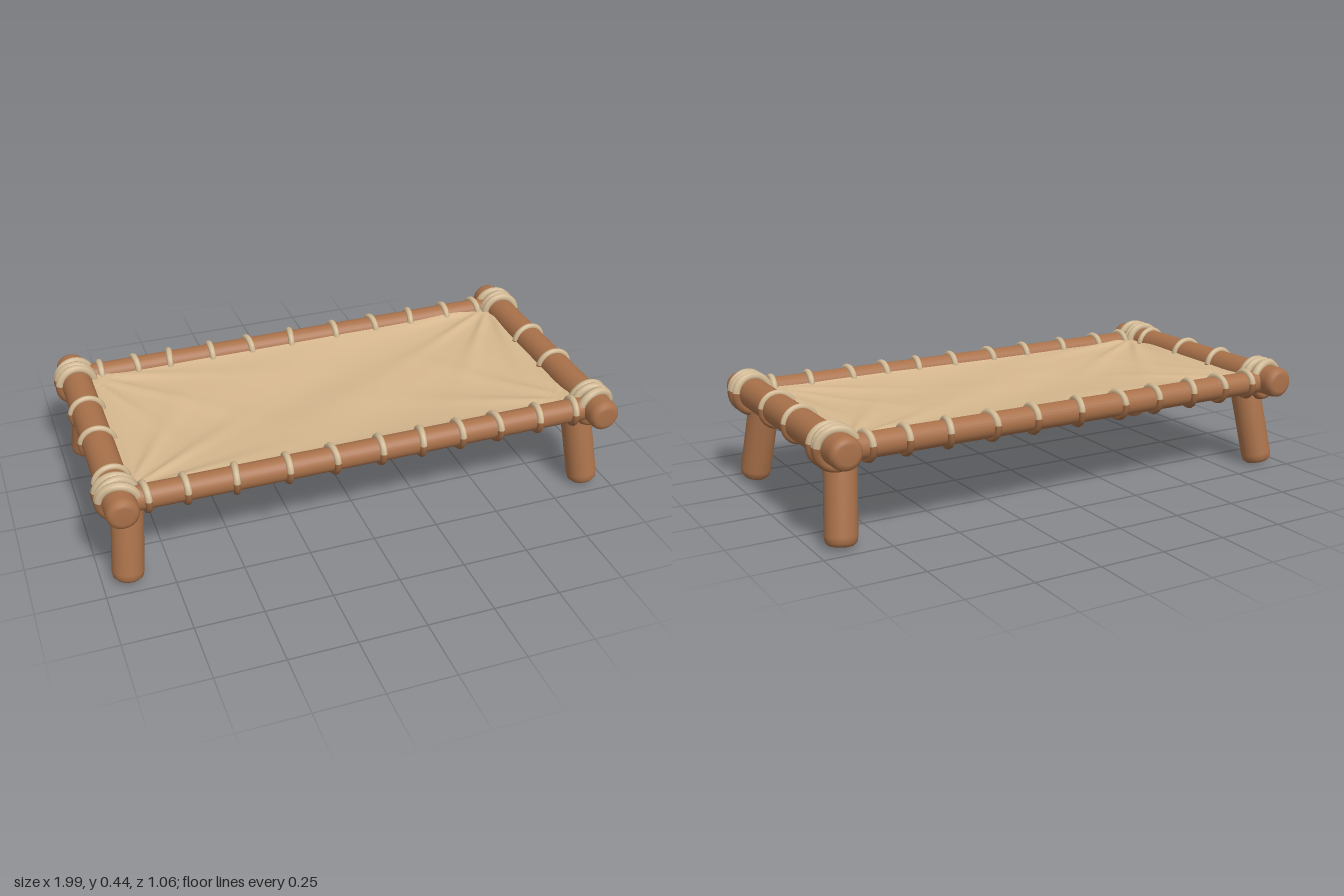
import * as THREE from 'three';

const mat = (name, color, side = THREE.FrontSide) => {
  const m = new THREE.MeshStandardMaterial({ color, side });
  m.name = name;
  return m;
};

export function createModel() {
  const wood = mat('wood', 0xa9714a);
  const ropeLight = mat('pale rope', 0xd0b893);
  const ropeDark = mat('stained rope', 0x9c6843);
  const cloth = mat('canvas', 0xd6b88f, THREE.DoubleSide);
  const model = new THREE.Group();
  model.name = 'cot';

  // Round pole with softened ends between two points
  function pole(name, from, to, r, round) {
    const a = new THREE.Vector3(...from), b = new THREE.Vector3(...to);
    const len = a.distanceTo(b);
    const cap = [[0, 0], [r - round, 0], [r - round * 0.5, round * 0.13], [r - round * 0.13, round * 0.5], [r, round * 1.2]];
    const pts = [...cap, ...cap.map(([x, y]) => [x, len - y]).reverse()].map(p => new THREE.Vector2(...p));
    const mesh = new THREE.Mesh(new THREE.LatheGeometry(pts, 28), wood);
    mesh.name = name;
    mesh.position.copy(a);
    mesh.quaternion.setFromUnitVectors(new THREE.Vector3(0, 1, 0), b.sub(a).normalize());
    model.add(mesh);
  }

  // Rope loop: pale on top, stained underneath; yaw 0 wraps a pole running along z
  function loop(name, pos, radius, tube, yaw, pitch = 0) {
    const group = new THREE.Group();
    group.name = name;
    const cut = 0.15;
    for (const [part, start, arc, m] of [
      ['upperRope', cut, Math.PI - 2 * cut, ropeLight],
      ['lowerRope', Math.PI - cut, Math.PI + 2 * cut, ropeDark]]) {
      const geo = new THREE.TorusGeometry(radius, tube, 8, 20, arc);
      geo.rotateZ(start);
      const mesh = new THREE.Mesh(geo, m);
      mesh.name = part;
      group.add(mesh);
    }
    group.position.set(...pos);
    group.rotation.set(pitch, yaw, 0, 'YXZ');
    model.add(group);
  }

  // Frame
  const backZ = -0.437, frontZ = 0.428, railY = 0.35, endX = 0.913, endY = 0.357;
  pole('backRail', [-0.91, railY, backZ], [0.91, railY, backZ], 0.045, 0.015);
  pole('frontRail', [-0.91, railY, frontZ], [0.91, railY, frontZ], 0.045, 0.015);
  for (const s of [-1, 1]) {
    pole(s > 0 ? 'leftEndRail' : 'rightEndRail', [s * endX, endY, -0.532], [s * endX, endY, 0.532], 0.059, 0.025);
    // Splayed legs
    for (const t of [-1, 1])
      pole('leg', [s * 0.908, 0.01, t * 0.427], [s * 0.87, 0.35, t * 0.36], 0.058, 0.03);
  }

  // Lacing along the long rails
  const backX = [-0.81, -0.67, -0.53, -0.36, -0.2, -0.02, 0.17, 0.34, 0.51, 0.67, 0.81];
  const frontX = [-0.82, -0.68, -0.5, -0.31, -0.14, 0.04, 0.2, 0.35, 0.5, 0.67, 0.82];
  backX.forEach((x, i) => loop('backLacing', [x, railY, backZ], 0.047, 0.013, Math.PI / 2 + 0.15 * Math.sin(i * 2.1)));
  frontX.forEach((x, i) => loop('frontLacing', [x, railY, frontZ], 0.047, 0.013, Math.PI / 2 + 0.12 * Math.sin(i * 1.7 + 1)));

  // Lacing along the end rails
  for (const [x, zs] of [[-endX, [-0.155, 0.06, 0.315]], [endX, [-0.11, 0.11]]])
    zs.forEach((z, i) => loop('endLacing', [x, endY, z], 0.061, 0.012, i % 2 ? -0.06 : 0.06));

  // Heavy lashings at the four corners
  for (const s of [-1, 1]) for (const t of [-1, 1])
    [[0.437, 0.16, 0.08], [0.41, -0.12, -0.05], [0.375, 0.08, 0.06]].forEach(([z, yaw, pitch]) =>
      loop('cornerLashing', [s * endX, endY - 0.002, t * z], 0.067, 0.017, s * t * yaw, t * pitch));

  // Canvas: slight sag with folds fanning out of each corner
  const W = 1.74, D = 0.81, midZ = -0.005;
  const geo = new THREE.PlaneGeometry(W, D, 110, 56).rotateX(-Math.PI / 2);
  const p = geo.attributes.position;
  const fold = v => Math.pow(0.5 + 0.5 * Math.sin(v), 3);
  for (let i = 0; i < p.count; i++) {
    const x = p.getX(i), z = p.getZ(i);
    const u = 1 - (2 * x / W) ** 2, v = 1 - (2 * z / D) ** 2;
    let y = 0.372 - 0.03 * Math.sqrt(Math.max(0, u * v));
    for (const s of [-1, 1]) for (const t of [-1, 1]) {
      const dx = W / 2 - s * x, dz = D / 2 - t * z, d = Math.hypot(dx, dz);
      const fade = Math.min(1, d * 6) * Math.exp(-d * 3.2);
      y += 0.02 * fade * (fold(Math.atan2(dz, dx) * 14 + s * 1.3 + t * 0.7) - 0.4);
    }
    y += 0.005 * u * v * Math.sin(x * 3 + z * 13 + Math.sin(x * 4));
    p.setXYZ(i, x, y, z + midZ);
  }
  geo.computeVertexNormals();
  const canvas = new THREE.Mesh(geo, cloth);
  canvas.name = 'canvas';
  model.add(canvas);

  return model;
}
